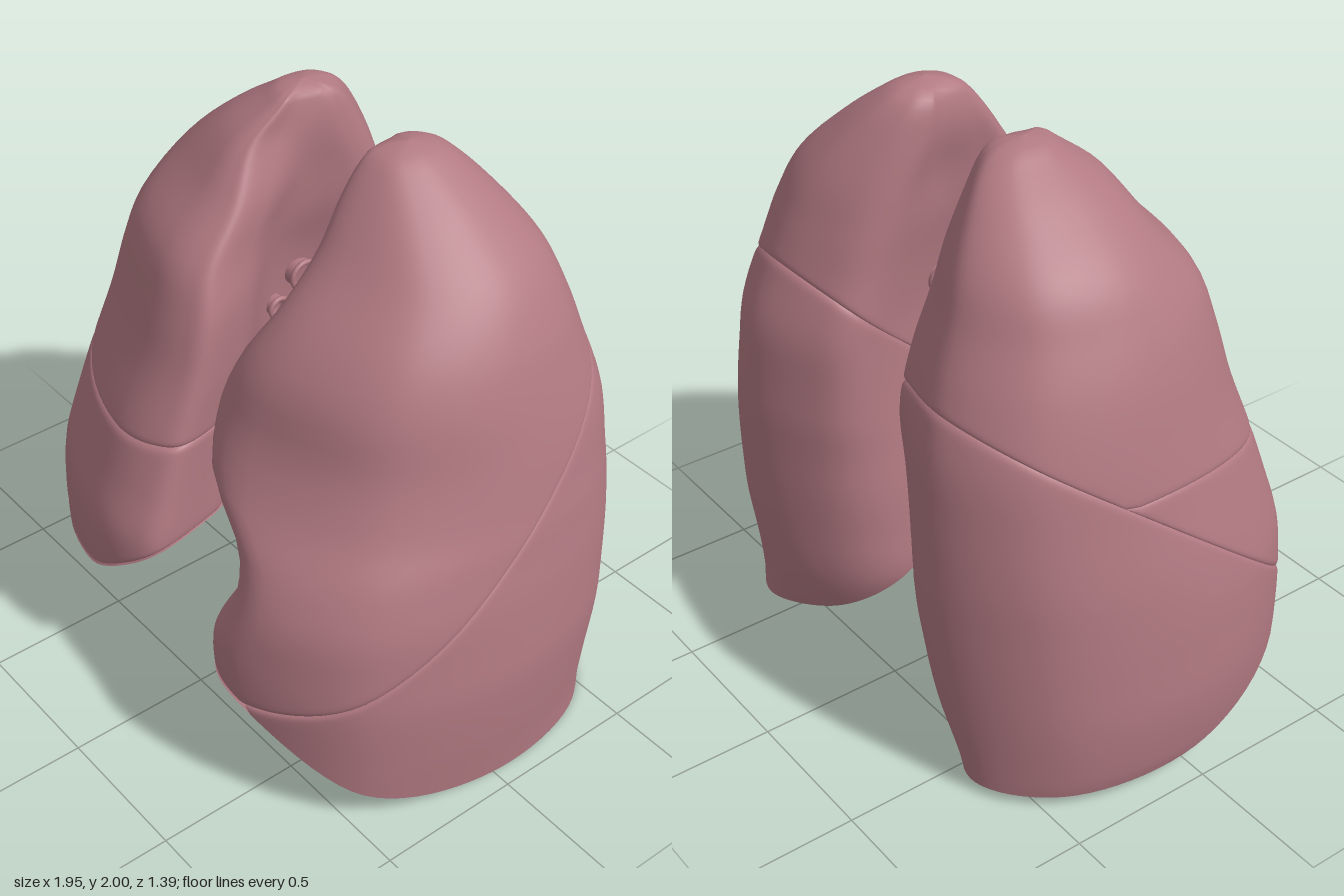
import * as THREE from 'three';

const tissue = new THREE.MeshStandardMaterial({ color: 0xb27a82, side: THREE.DoubleSide });
tissue.name = 'rosy tissue';

const COLS = 110, ROWS = 40;

// Section rows: y, outer x, back z, front z, medial x at the front edge, middle and rear,
// and how far forward the rear medial ridge sits.
// Rim: height of the lower edge at each of the eleven section points.
const LEFT = {
  rows: [
    [0, .94, -.62, .66, .36, .30, .28, .22], [.1, .95, -.63, .67, .34, .25, .20, .22],
    [.25, .965, -.65, .68, .31, .19, .14, .22], [.45, .975, -.675, .69, .29, .17, .15, .20],
    [.6, .965, -.685, .685, .29, .18, .16, .18], [.75, .95, -.69, .65, .36, .21, .17, .17],
    [.88, .93, -.69, .605, .33, .24, .17, .16], [.95, .92, -.685, .58, .25, .25, .17, .16],
    [1.02, .905, -.68, .55, .12, .25, .17, .16], [1.2, .87, -.66, .47, .055, .25, .17, .16],
    [1.4, .82, -.59, .41, .11, .23, .17, .17], [1.55, .765, -.54, .31, .17, .20, .16, .2],
    [1.7, .67, -.48, .17, .18, .18, .15, .26], [1.85, .505, -.38, .06, .17, .15, .14, .32],
    [1.95, .37, -.29, -.02, .18, .16, .15, .34], [1.985, .31, -.23, -.07, .20, .19, .19, .34],
    [2, .25, -.15, -.15, .25, .25, .25, .34],
  ],
  rim: [.40, .13, .02, 0, .02, .09, .25, .55, .58, .47, .44],
  hug: .7, // how closely the front hollow follows the middle of the medial face
  oblique: z => .88 - .8 * z + .16 * z * z,
};
const RIGHT = {
  rows: [
    [0, .92, -.62, .64, .20, .30, .30, .36], [.1, .95, -.63, .66, .14, .28, .24, .38],
    [.3, .975, -.66, .68, .06, .21, .10, .42], [.5, .97, -.68, .69, .05, .18, .04, .45],
    [.65, .96, -.69, .68, .04, .19, .015, .45], [.8, .94, -.69, .63, .045, .22, .06, .34],
    [1, .90, -.68, .56, .05, .25, .12, .22], [1.2, .86, -.66, .48, .05, .25, .15, .16],
    [1.4, .81, -.60, .42, .06, .23, .15, .17], [1.55, .75, -.54, .36, .10, .20, .14, .22],
    [1.7, .665, -.48, .22, .14, .18, .14, .28], [1.85, .495, -.38, .10, .20, .17, .15, .33],
    [1.945, .36, -.29, -.02, .20, .18, .17, .34], [1.977, .31, -.23, -.07, .21, .20, .20, .34],
    [1.99, .25, -.15, -.15, .25, .25, .25, .34],
  ],
  rim: [.42, .26, .07, .04, .04, .07, .45, .60, .62, .61, .54],
  hug: .25,
  oblique: z => .88 - .78 * z - .1 * z * z,
};

// Smooth interpolation of the section rows at height y
function sample(rows, y) {
  const n = rows.length - 1;
  y = THREE.MathUtils.clamp(y, rows[0][0], rows[n][0]);
  let i = 0;
  while (i < n - 1 && y > rows[i + 1][0]) i++;
  const a = rows[i], b = rows[i + 1], h = b[0] - a[0], t = (y - a[0]) / h;
  const p = rows[Math.max(i - 1, 0)], q = rows[Math.min(i + 2, n)];
  return a.map((v, k) => {
    const m0 = (b[k] - p[k]) / (b[0] - p[0]) * h, m1 = (q[k] - v) / (q[0] - a[0]) * h;
    return (2 * t ** 3 - 3 * t * t + 1) * v + (t ** 3 - 2 * t * t + t) * m0
      + (3 * t * t - 2 * t ** 3) * b[k] + (t ** 3 - t * t) * m1;
  });
}

// Closed horizontal section; the y of each curve point carries the rim height
function section(lung, y) {
  const [, xo, zb, zf, xa, xm, xp, ridge] = sample(lung.rows, y);
  const d = zf - zb, mid = (zf + zb) / 2, fx = xa + .3 * (xo - xa), bx = xp + .5 * (xo - xp);
  const pts = [
    [fx, zf], [fx + .72 * (xo - fx), mid + .345 * d], [xo, mid], [bx + .74 * (xo - bx), mid - .355 * d],
    [bx, zb], [xp + .3 * (bx - xp), zb + .36 * ridge * d], [xp, zb + ridge * d], [xm, zb + .55 * d],
    [xa + lung.hug * (xm - xa), zb + .77 * d], [xa, zf - .055 * d], [xa + .09 * (xo - xa), zf - .008 * d],
  ].map(([x, z], i) => new THREE.Vector3(x, lung.rim[i], z));
  const curve = new THREE.CatmullRomCurve3(pts, true, 'centripetal');
  curve.centre = new THREE.Vector3((xo + xm) / 2, 0, mid);
  return curve;
}

// Joins rings of points into a smooth skin
function skin(name, rings, side) {
  const pos = [], idx = [];
  rings.forEach(r => r.forEach(p => pos.push(p.x * side, p.y, p.z)));
  for (let i = 0; i < rings.length - 1; i++) for (let j = 0; j < COLS; j++) {
    const k = (j + 1) % COLS, a = i * COLS + j, b = i * COLS + k, c = a + COLS, d = b + COLS;
    if (side > 0) idx.push(a, b, c, b, d, c);
    else idx.push(a, c, b, b, c, d);
  }
  const g = new THREE.BufferGeometry();
  g.setAttribute('position', new THREE.Float32BufferAttribute(pos, 3));
  g.setIndex(idx);
  g.computeVertexNormals();
  const mesh = new THREE.Mesh(g, tissue);
  mesh.name = name;
  return mesh;
}

// Height on each column where the wall meets a fissure surface y = f(x, z)
function fissure(lung, rim, f) {
  return rim.map((r, j) => {
    let y = .9;
    for (let n = 0; n < 14; n++) {
      const p = section(lung, y).getPoint(j / COLS);
      y = (y + f(p.x, p.z)) / 2;
    }
    return THREE.MathUtils.clamp(y, r, 1.7);
  });
}

// One lobe wall between two height lists, tucked in where it borders a fissure
function lobe(name, lung, lo, hi, tuckLo, tuckHi, side) {
  const rings = [];
  for (let i = 0; i <= ROWS; i++) {
    const k = (1 - Math.cos(Math.PI * i / ROWS)) / 2;
    rings.push(lo.map((l, j) => {
      const y = l + (hi[j] - l) * k, s = section(lung, y), p = s.getPoint(j / COLS);
      const edge = Math.min(tuckLo ? y - l : 9, tuckHi ? hi[j] - y : 9);
      p.lerp(s.centre, .018 * Math.exp(-edge / .007));
      return p.setY(y);
    }));
  }
  return skin(name, rings, side);
}

// Concave underside, from the dome centre out to the rim
function hollow(lung, rim, side) {
  const rings = [], steps = 18, dome = .64;
  for (let i = 0; i <= steps; i++) {
    const r = Math.sin(i / steps * Math.PI / 2);
    rings.push(rim.map((h, j) => {
      const p = section(lung, h).getPoint(j / COLS);
      const c = new THREE.Vector3(.54, 0, 0);
      return c.lerp(p, r).setY(h + (dome - h) * (1 - r ** 2.4));
    }));
  }
  return skin('diaphragmSurface', rings, side);
}

// Short open airway and vessel stubs on the medial face
function hilum(lung, side) {
  const group = new THREE.Group();
  group.name = 'hilum';
  for (const [y, z, r] of [[1.3, -.12, .05], [1.21, -.02, .035], [1.1, -.08, .045]]) {
    const x = sample(lung.rows, y)[5];
    const tube = new THREE.Mesh(new THREE.CylinderGeometry(r, r, .08, 20, 1, true), tissue);
    tube.rotation.z = Math.PI / 2;
    tube.position.set(side * x, y, z);
    tube.name = 'vesselStub';
    const lip = new THREE.Mesh(new THREE.TorusGeometry(r, .009, 8, 20), tissue);
    lip.rotation.y = Math.PI / 2;
    lip.position.set(side * (x - .04), y, z);
    lip.name = 'vesselLip';
    group.add(tube, lip);
  }
  return group;
}

function buildLung(name, lung, side, hasMiddleLobe) {
  const group = new THREE.Group();
  group.name = name;
  const base = section(lung, .4);
  const rim = Array.from({ length: COLS }, (_, j) => Math.max(0, base.getPoint(j / COLS).y));
  const top = rim.map(() => lung.rows[lung.rows.length - 1][0]);
  const oblique = fissure(lung, rim, (x, z) => lung.oblique(z));
  let upperStart = oblique;
  if (hasMiddleLobe) {
    const level = fissure(lung, rim, x => .95 + .6 * Math.max(x - .45, .6 * (.45 - x)) ** 2);
    upperStart = oblique.map((y, j) => Math.max(y, level[j]));
    group.add(lobe('middleLobe', lung, oblique, upperStart, true, true, side));
  }
  group.add(
    lobe('lowerLobe', lung, rim, oblique, false, true, side),
    lobe('upperLobe', lung, upperStart, top, true, false, side),
    hollow(lung, rim, side),
    hilum(lung, side),
  );
  return group;
}

export function createModel() {
  const model = new THREE.Group();
  model.name = 'lungs';
  model.add(buildLung('leftLung', LEFT, 1, false), buildLung('rightLung', RIGHT, -1, true));
  return model;
}
